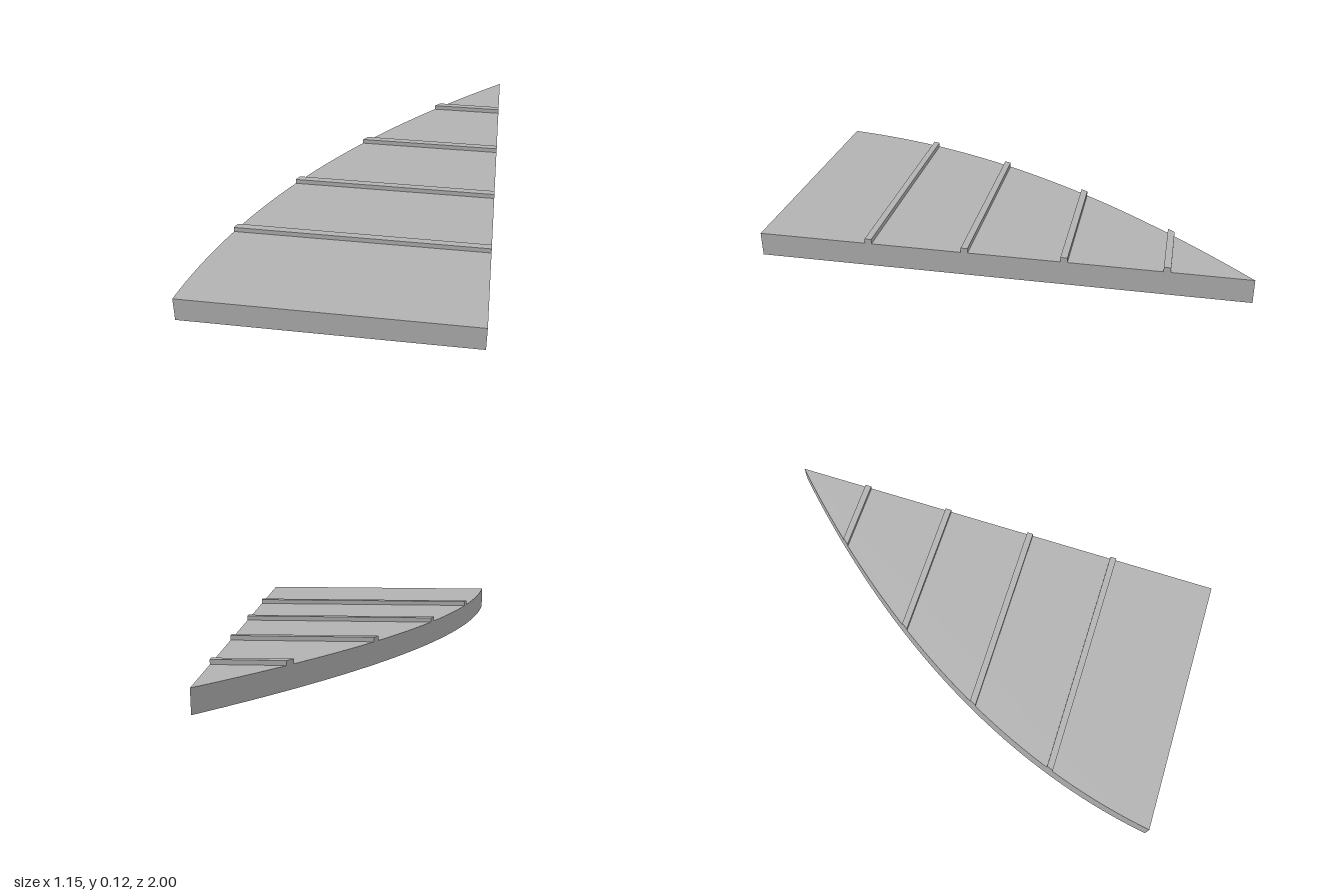
import * as THREE from 'three';
import { toCreasedNormals } from 'three/addons/utils/BufferGeometryUtils.js';

const RIGHT_EDGE = 0.575;

// x position of the curved edge at a given z
function curvedEdge(z) {
  const u = 1 - z;
  return -0.575 + 0.146 * u + 0.2145 * u * u;
}

// Slab between the curved edge and the straight edge, from zBack to zFront
function slab(zBack, zFront, bottom, height, segments) {
  const shape = new THREE.Shape();
  shape.moveTo(RIGHT_EDGE, -zFront);
  // The tip is a single point, so the straight edge closes onto the curve
  if (zBack > -1) shape.lineTo(RIGHT_EDGE, -zBack);
  for (let i = 0; i <= segments; i++) {
    const z = zBack + (zFront - zBack) * i / segments;
    shape.lineTo(curvedEdge(z), -z);
  }
  const geometry = new THREE.ExtrudeGeometry(shape, { depth: height, bevelEnabled: false });
  geometry.rotateX(-Math.PI / 2);
  geometry.translate(0, bottom, 0);
  return toCreasedNormals(geometry, Math.PI / 9);
}

export function createModel() {
  const model = new THREE.Group();
  model.name = 'ribbedCurvedPanel';
  const grey = new THREE.MeshStandardMaterial({ color: 0xb2b2b2 });
  grey.name = 'grey';

  const add = (name, geometry) => {
    const mesh = new THREE.Mesh(geometry, grey);
    mesh.name = name;
    model.add(mesh);
  };

  // Flat panel with one curved side
  add('panel', slab(-1, 1, 0, 0.1, 40));

  // Four raised ribs across the top, trimmed to the curved side
  const ribWidth = 0.028;
  for (let i = 0; i < 4; i++) {
    const z = 0.533 - i * 0.401;
    add(`rib${i + 1}`, slab(z - ribWidth / 2, z + ribWidth / 2, 0.1, 0.02, 2));
  }
  return model;
}
